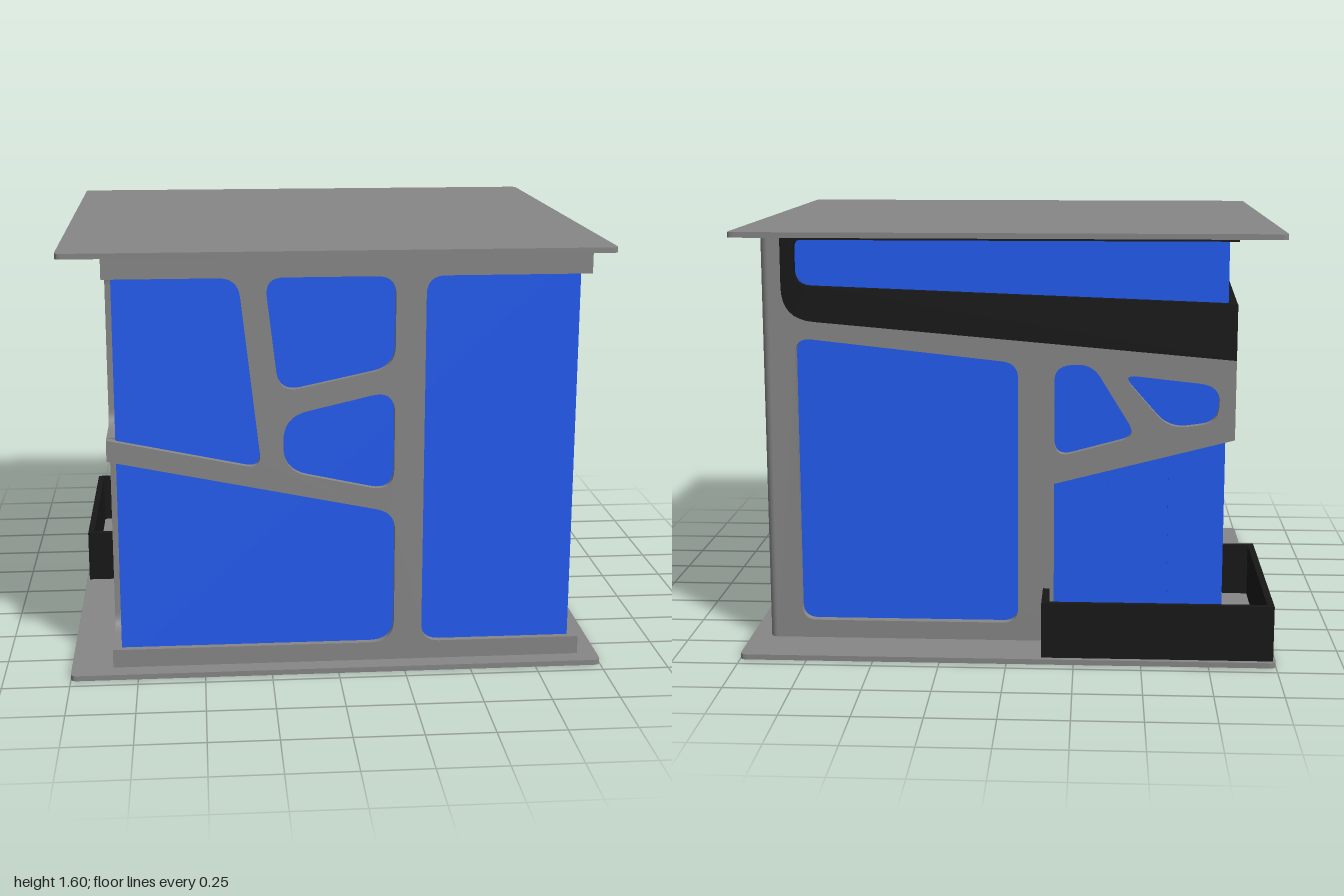
import * as THREE from 'three';
import { toCreasedNormals } from 'three/addons/utils/BufferGeometryUtils.js';

const grey = new THREE.MeshStandardMaterial({ color: 0x878787 });
const blue = new THREE.MeshStandardMaterial({ color: 0x245cf1 });
const black = new THREE.MeshStandardMaterial({ color: 0x181818 });

// Outer faces of the walls, wall thickness, post radius and storey heights
const L = -0.845, R = 0.925, B = -0.745, F = 0.885, T = 0.035, P = 0.028;
const Y0 = 0.02, Y1 = 1.58, SILL = 0.09, HEAD = 1.495;

// Traces a polygon of [x, y, radius] corners, rounding those with a radius
function trace(path, pts) {
  pts.forEach(([x, y, r = 0], i) => {
    const p = new THREE.Vector2(x, y);
    const toward = (q) => {
      const d = new THREE.Vector2(q[0], q[1]).sub(p);
      const len = d.length();
      return d.multiplyScalar(Math.min(r, len * 0.48) / len).add(p);
    };
    const a = toward(pts[(i + pts.length - 1) % pts.length]);
    const b = toward(pts[(i + 1) % pts.length]);
    if (i === 0) path.moveTo(a.x, a.y); else path.lineTo(a.x, a.y);
    if (r) path.quadraticCurveTo(x, y, b.x, b.y);
  });
  path.closePath();
  return path;
}

function plate(outline, holes = [], depth = T) {
  const shape = trace(new THREE.Shape(), outline);
  for (const h of holes) shape.holes.push(trace(new THREE.Path(), h));
  const geo = new THREE.ExtrudeGeometry(shape, { depth, bevelEnabled: false, curveSegments: 8 });
  return toCreasedNormals(geo, 0.5);
}

// Window with two upright sides; bottom and top may slope from side a to side b
const pane = (a, b, a0, b0, a1, b1, r = 0.06) => [[a, a0, r], [b, b0, r], [b, b1, r], [a, a1, r]];

export function createModel() {
  const group = new THREE.Group();
  group.name = 'house';
  const add = (name, geo, mat, x = 0, y = 0, z = 0) => {
    const m = new THREE.Mesh(geo, mat);
    m.name = name;
    m.position.set(x, y, z);
    group.add(m);
  };
  const block = (name, mat, x0, x1, y0, y1, z0, z1) =>
    add(name, new THREE.BoxGeometry(x1 - x0, y1 - y0, z1 - z0), mat,
      (x0 + x1) / 2, (y0 + y1) / 2, (z0 + z1) / 2);
  // Plates drawn in (z, y) turn to stand along the sides
  const side = (name, geo, mat, x) => add(name, geo.rotateY(-Math.PI / 2), mat, x);

  // Floor and roof slabs
  const slab = [[-1, -0.955, 0.025], [1, -0.955, 0.025], [1, 0.955, 0.025], [-1, 0.955, 0.025]];
  for (const [name, y] of [['floorSlab', 0], ['roofSlab', Y1]])
    add(name, plate(slab, [], 0.02).rotateX(-Math.PI / 2), grey, 0, y, 0);

  // Glass core and its door seams at the back left corner
  const gl = -0.812, gr = 0.888, gb = -0.712, gf = 0.86;
  block('glass', blue, gl, gr, Y0, Y1, gb, gf);
  for (const x of [-0.378, -0.604]) block('doorSeam', blue, x - 0.003, x + 0.003, SILL, 0.73, gb - 0.004, gb);
  for (const z of [-0.5, -0.31]) block('doorSeam', blue, gl - 0.004, gl, SILL, 0.93, z - 0.003, z + 0.003);

  // Front wall, open to both corners
  add('frontWall', plate([
    [L, Y0], [R, Y0], [R, SILL], [0.32, SILL, 0.07], [0.32, HEAD, 0.07], [R, HEAD], [R, Y1], [L, Y1],
    [L, HEAD], [-0.36, HEAD, 0.07], [-0.28, 0.785, 0.06], [L, 0.905],
    [L, 0.825], [0.215, 0.605, 0.07], [0.215, SILL, 0.09], [L, SILL],
  ], [
    [[-0.265, HEAD, 0.07], [0.21, HEAD, 0.07], [0.21, 1.16, 0.08], [-0.215, 1.07, 0.08]],
    pane(-0.2, 0.21, 0.775, 0.685, 0.98, 1.075, 0.09),
  ]), grey, 0, 0, F - T);

  // Right-hand wall (+x) with three columns of windows
  const z0 = B + P, z1 = F - T;
  side('windowWall', plate([
    [z0, Y0], [z1, Y0], [z1, SILL], [0.38, SILL, 0.07], [0.38, HEAD, 0.07], [z1, HEAD], [z1, Y1], [z0, Y1],
  ], [
    pane(0.035, 0.24, 0.99, 0.91, HEAD, HEAD),
    pane(0.035, 0.24, 0.415, 0.415, 0.89, 0.80),
    pane(0.035, 0.24, SILL, SILL, 0.335, 0.335),
    pane(-0.23, -0.025, 1.19, 1.23, HEAD, HEAD),
    pane(-0.23, -0.025, 0.69, 0.605, 1.08, 1.13),
    pane(-0.23, -0.025, SILL, SILL, 0.575, 0.51),
    pane(-0.685, -0.4, 0.87, 0.97, HEAD, HEAD, 0.075),
    pane(-0.685, -0.4, 0.535, 0.45, 0.775, 0.86, 0.075),
    pane(-0.685, -0.4, SILL, SILL, 0.44, 0.37, 0.075),
  ]), grey, R);

  // Left-hand wall (-x) with glazed corners and one column of windows
  const zl = B + T;
  side('doorWall', plate([
    [zl, Y0], [z1, Y0], [z1, SILL], [0.65, SILL, 0.06], [0.65, 0.825, 0.06], [z1, 0.825],
    [z1, 0.905], [0.65, 0.905, 0.06], [0.65, HEAD, 0.06], [z1, HEAD], [z1, Y1], [-0.036, Y1],
    [-0.036, 1.26, 0.12], [zl, 1.122], [zl, 0.827], [-0.1, 0.955, 0.06], [-0.1, SILL, 0.06], [zl, SILL],
  ], [
    pane(0.32, 0.54, 0.98, 1.07, HEAD, HEAD),
    pane(0.32, 0.54, 0.55, 0.53, 0.81, 0.89),
    pane(0.32, 0.54, SILL, SILL, 0.43, 0.42),
  ]), grey, L + T);

  // Back wall and rounded back corner post
  const xr = R - P;
  add('backWall', plate([
    [L, 1.115], [0.85, 1.26, 0.12], [0.85, Y1], [xr, Y1], [xr, Y0], [L, Y0],
    [L, SILL], [-0.17, SILL], [-0.17, 0.64], [L, 0.815],
  ], [
    pane(-0.035, 0.8, SILL, SILL, 1.10, 1.19),
    [[-0.17, 0.74, 0.07], [-0.17, 1.09, 0.06], [-0.31, 1.1, 0.06], [-0.48, 0.825, 0.06]],
    [[-0.42, 1.06, 0.06], [-0.79, 1.02, 0.08], [-0.78, 0.88, 0.06], [-0.6, 0.855, 0.07]],
  ]), grey, 0, 0, B);
  add('cornerPost', new THREE.CylinderGeometry(P, P, Y1 - Y0, 24), grey, xr, (Y0 + Y1) / 2, z0);

  // Black frame around the high corner window
  add('backFrame', plate([
    [L, 1.115], [0.85, 1.26, 0.12], [0.85, Y1], [L, Y1],
    [L, 1.555], [0.8, 1.555, 0.03], [0.8, 1.385, 0.06], [L, 1.325],
  ]), black, 0, 0, B);
  side('sideFrame', plate([
    [zl, 1.122], [-0.036, 1.26, 0.12], [-0.036, Y1], [zl, Y1],
    [zl, 1.555], [-0.11, 1.555, 0.03], [-0.11, 1.385, 0.06], [zl, 1.325],
  ]), black, L + T);

  // Low black terrace wall around the door corner
  const w = 0.025, top = 0.23, zt = -0.935;
  block('terraceBack', black, -0.99, -0.13, Y0, top, zt, zt + w);
  block('terraceSide', black, -0.99, -0.99 + w, Y0, top, zt + w, -0.075);
  block('terraceBackEnd', black, -0.13 - w, -0.13, Y0, top, zt + w, B);
  block('terraceSideEnd', black, -0.99 + w, L, Y0, top, -0.075 - w, -0.075);

  return group;
}
